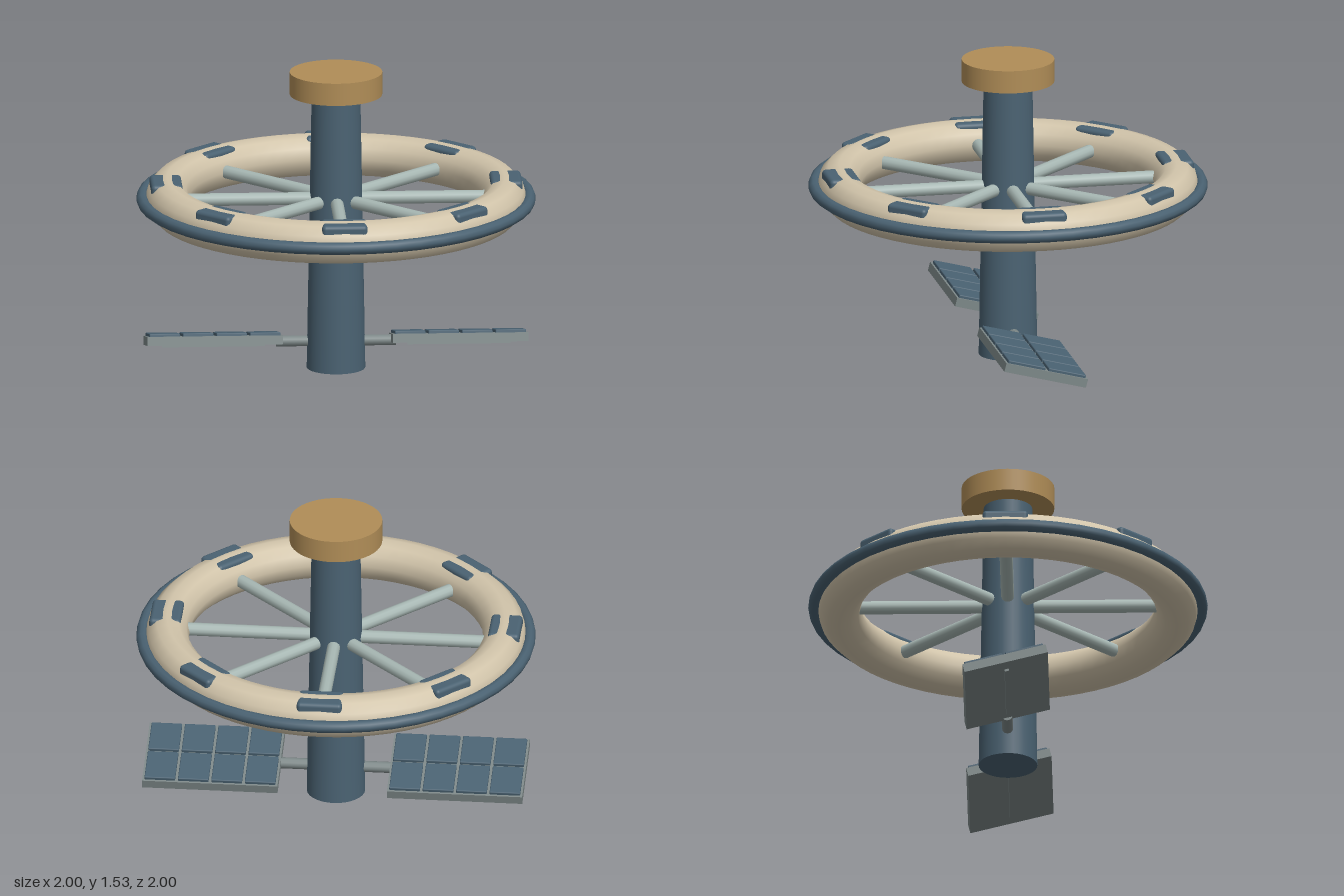
import * as THREE from 'three';
import { RoundedBoxGeometry } from 'three/addons/geometries/RoundedBoxGeometry.js';

const paint = (name, color) => {
  const m = new THREE.MeshStandardMaterial({ color });
  m.name = name;
  return m;
};

export function createModel() {
  const slate = paint('slate blue', 0x4a6272);
  const cream = paint('cream', 0xd1c4aa);
  const gold = paint('gold', 0xb08d57);
  const pale = paint('pale grey green', 0xa7b7b3);
  const grey = paint('frame grey', 0x7d8888);

  const model = new THREE.Group();
  model.name = 'spaceStation';

  const add = (parent, name, geometry, material, x = 0, y = 0, z = 0) => {
    const mesh = new THREE.Mesh(geometry, material);
    mesh.name = name;
    mesh.position.set(x, y, z);
    parent.add(mesh);
    return mesh;
  };

  // Central tapered hub and its docking cap
  add(model, 'hub', new THREE.CylinderGeometry(0.122, 0.147, 1.42, 32), slate, 0, 0.71, 0);
  add(model, 'dockingCap', new THREE.CylinderGeometry(0.232, 0.232, 0.115, 48), gold, 0, 1.4725, 0);

  // Habitat ring with outer bumper rim
  const ringY = 0.875;
  const ring = add(model, 'habitatRing', new THREE.TorusGeometry(0.845, 0.11, 12, 64), cream, 0, ringY, 0);
  const rim = add(model, 'outerRim', new THREE.TorusGeometry(0.969, 0.031, 10, 48), slate, 0, ringY, 0);
  ring.rotation.x = rim.rotation.x = Math.PI / 2;

  // Eight spokes, each under a window block sunk into the ring's crest
  const spokeGeo = new THREE.CylinderGeometry(0.033, 0.033, 0.66, 12).rotateX(Math.PI / 2);
  const windowGeo = new RoundedBoxGeometry(0.228, 0.08, 0.158, 3, 0.02);
  for (let i = 0; i < 8; i++) {
    const sector = new THREE.Group();
    sector.name = 'ringSector';
    sector.rotation.y = (i * Math.PI) / 4;
    add(sector, 'spoke', spokeGeo, pale, 0, ringY, 0.425);
    add(sector, 'windowBlock', windowGeo, slate, 0, 0.939, 0.851);
    model.add(sector);
  }

  // Tilted solar panel on each side
  const frameGeo = new THREE.BoxGeometry(0.68, 0.045, 0.43);
  const cellGeo = new RoundedBoxGeometry(0.154, 0.024, 0.196, 2, 0.005);
  const armGeo = new THREE.CylinderGeometry(0.028, 0.028, 0.2, 12).rotateZ(Math.PI / 2);
  const barGeo = new THREE.BoxGeometry(0.515, 0.016, 0.022);
  for (const side of [1, -1]) {
    add(model, 'panelArm', armGeo, grey, side * 0.2, 0.137, 0);
    const panel = new THREE.Group();
    panel.name = 'solarPanel';
    panel.position.set(side * 0.615, 0.147, 0);
    panel.rotation.x = -0.25;
    add(panel, 'panelFrame', frameGeo, grey);
    add(panel, 'backSpar', barGeo, grey, 0, -0.026, 0);
    for (let c = 0; c < 4; c++) {
      for (const row of [-1, 1]) {
        add(panel, 'solarCell', cellGeo, slate, (c - 1.5) * 0.168, 0.026, row * 0.106);
      }
    }
    model.add(panel);
  }
  return model;
}
